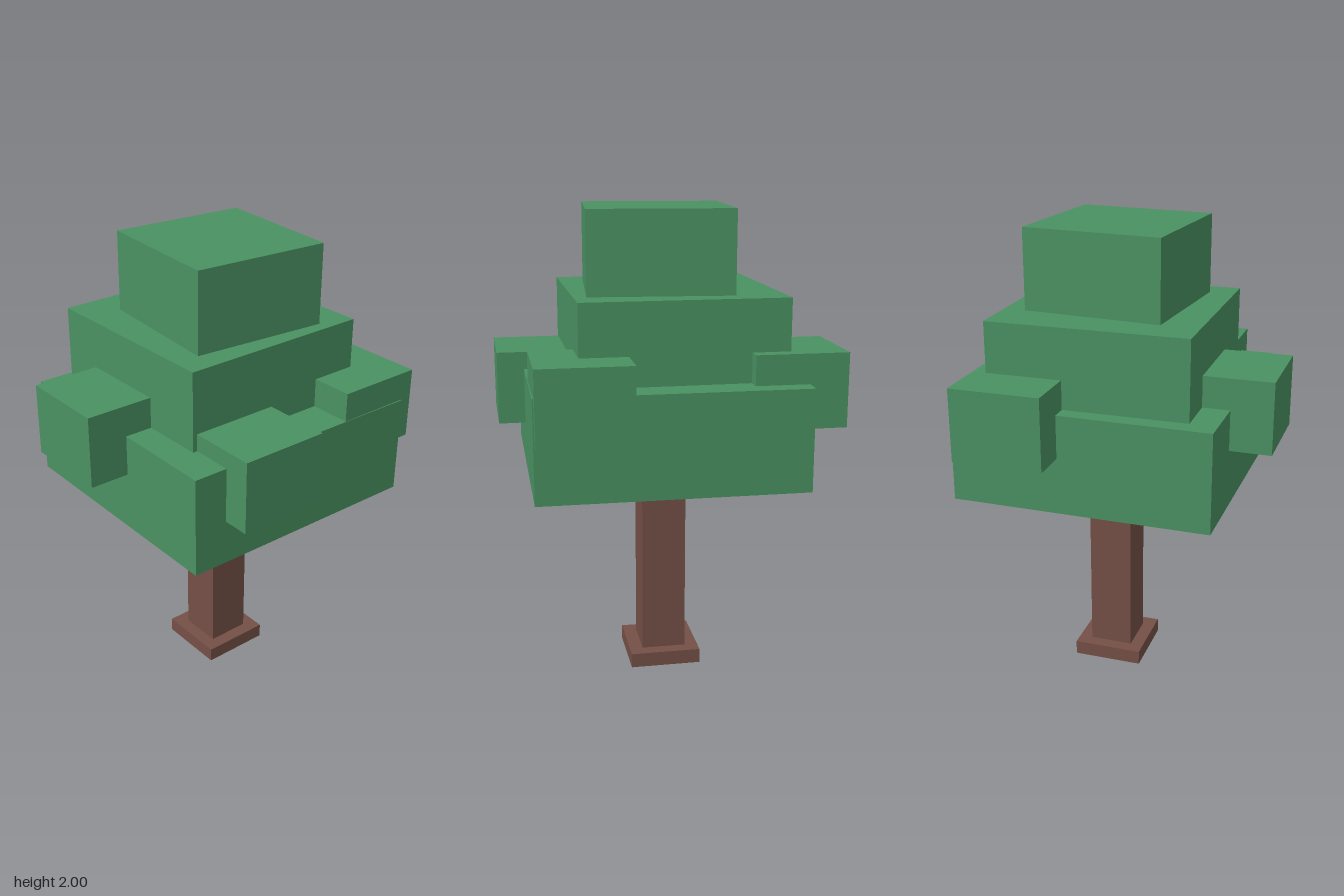
import * as THREE from 'three';

export function createModel() {
  const tree = new THREE.Group();
  tree.name = 'tree';
  const leaf = new THREE.MeshStandardMaterial({ color: 0x4a9162 });
  leaf.name = 'leafGreen';
  const bark = new THREE.MeshStandardMaterial({ color: 0x744f46 });
  bark.name = 'barkBrown';

  // Square block between two heights, centred on (x, z) and turned about y
  function block(name, material, width, bottom, top, x, z, turn = 0) {
    const mesh = new THREE.Mesh(new THREE.BoxGeometry(width, top - bottom, width), material);
    mesh.name = name;
    mesh.position.set(x, (bottom + top) / 2, z);
    mesh.rotation.y = turn;
    tree.add(mesh);
  }

  // Trunk and its foot
  block('trunkFoot', bark, 0.305, 0, 0.063, 0.077, -0.005);
  block('trunk', bark, 0.19, 0.063, 0.9, 0.077, -0.005);

  // Three stacked canopy tiers, each slightly turned
  block('lowerCanopy', leaf, 1.102, 0.9, 1.323, 0.061, 0.021, -0.0075);
  block('middleCanopy', leaf, 0.848, 1.323, 1.66, 0.054, -0.035, 0.0065);
  block('topCanopy', leaf, 0.594, 1.66, 2, 0.063, 0.0145, -0.084);

  // Leaf clumps poking out of each side
  const clumps = [
    ['frontClump', 1.09, -0.156, 0.493],
    ['backClump', 1.14, 0.343, -0.495],
    ['leftClump', 1.14, 0.47, 0.38],
    ['rightClump', 1.15, -0.472, -0.07],
  ];
  for (const [name, bottom, x, z] of clumps) {
    block(name, leaf, 0.382, bottom, bottom + 0.306, x, z);
  }
  return tree;
}
